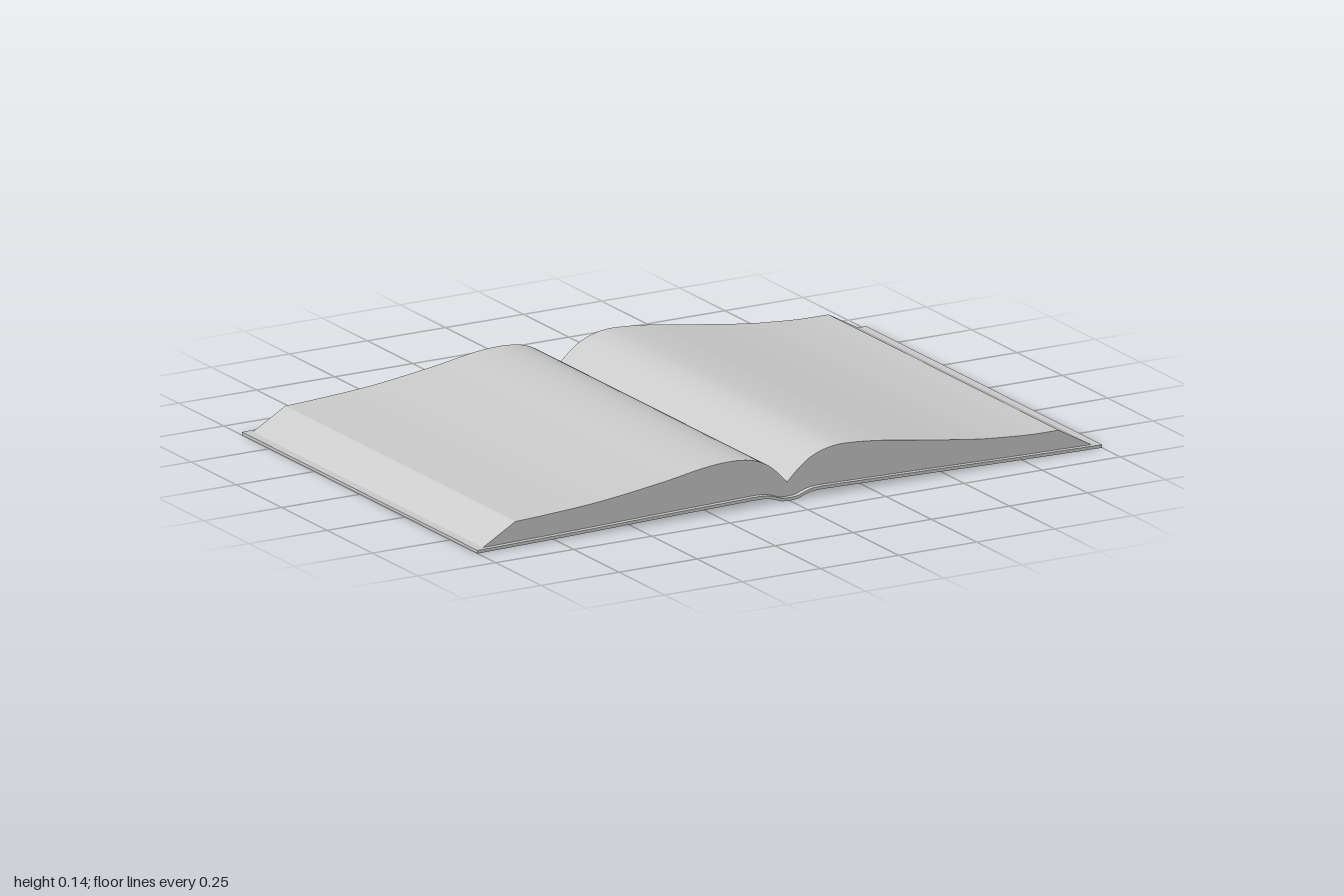
import * as THREE from 'three';
import { toCreasedNormals } from 'three/addons/utils/BufferGeometryUtils.js';

const material = new THREE.MeshStandardMaterial({ color: 0xcccccc });
const v = ([x, y]) => new THREE.Vector2(x, y);
const curve = (points, n) => new THREE.SplineCurve(points.map(v)).getPoints(n);
const mirror = (points) => points.map((p) => new THREE.Vector2(-p.x, p.y)).reverse();

// Extrudes an x-y outline along z, centred, smooth except at sharp edges.
function extrude(name, outline, depth) {
  let geometry = new THREE.ExtrudeGeometry(new THREE.Shape(outline), { depth, bevelEnabled: false });
  geometry.translate(0, 0, -depth / 2);
  // enlarged while smoothing so that thin parts keep separate vertices
  geometry.scale(1000, 1000, 1000);
  geometry = toCreasedNormals(geometry, 0.45);
  geometry.scale(0.001, 0.001, 0.001);
  const mesh = new THREE.Mesh(geometry, material);
  mesh.name = name;
  return mesh;
}

// Half of the cover's line: board, hinge and rounded spine, from x = 0 outwards.
function coverHalf(thickness) {
  const spine = curve([[0, 0], [0.025, 0.002], [0.045, 0.009], [0.07, 0.016], [0.1, 0.018]], 12);
  const board = curve([[0.1, 0.018], [0.4, 0.012], [0.7, 0.005], [1, 0]], 10).slice(1);
  return [...spine, ...board].map((p) => new THREE.Vector2(p.x, p.y + thickness));
}

function coverLine(thickness) {
  const half = coverHalf(thickness);
  return [...mirror(half.slice(1)), ...half];
}

export function createModel() {
  const book = new THREE.Group();
  book.name = 'openBook';

  // Cover: one thin bent sheet
  book.add(extrude('cover', [...coverLine(0), ...coverLine(0.009).reverse()], 1.3));

  // Page blocks: arched tops, sloping fore-edges, resting on the cover
  const bottom = coverHalf(0.008).filter((p) => p.x < 0.96);
  bottom.push(v([0.975, 0.009]));
  const leftTop = curve([[0.87, 0.067], [0.78, 0.068], [0.7, 0.073], [0.6, 0.082], [0.4, 0.11],
    [0.3, 0.125], [0.2, 0.134], [0.14, 0.132], [0.08, 0.114], [0.035, 0.083], [0, 0.05]], 50);
  const rightTop = curve([[-0.87, 0.069], [-0.78, 0.073], [-0.6, 0.085], [-0.4, 0.11],
    [-0.27, 0.131], [-0.18, 0.137], [-0.11, 0.129], [-0.06, 0.107], [-0.025, 0.077], [0, 0.05]], 50);
  const outline = [...mirror(bottom.slice(1)), ...bottom, ...leftTop, ...rightTop.reverse().slice(1)];
  book.add(extrude('pages', outline, 1.27));

  return book;
}
